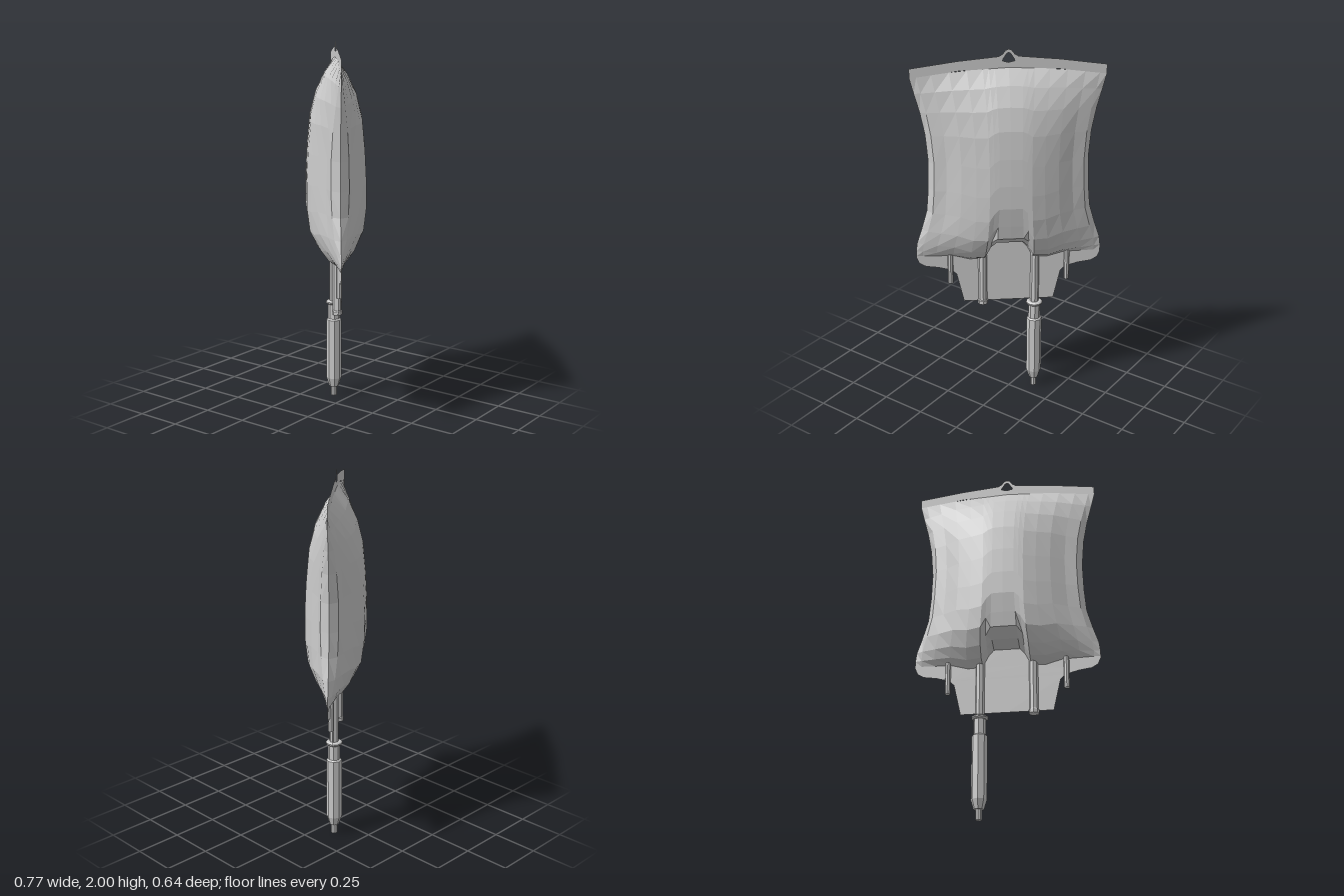
import * as THREE from 'three';

const flat = new THREE.MeshStandardMaterial({ color: 0xcccccc, flatShading: true });
const sheet = new THREE.MeshStandardMaterial({ color: 0xcccccc, side: THREE.DoubleSide });

// Piecewise linear lookup in a list of [position, value] pairs
function lookup(table, t) {
  for (let i = 1; i < table.length; i++) {
    const [a, p] = table[i - 1], [b, q] = table[i];
    if (t <= b) return p + (q - p) * (t - a) / (b - a);
  }
  return table[table.length - 1][1];
}

const BOTTOM = [[0, 0.93], [0.07, 0.93], [0.1, 0.895], [0.13, 0.835], [0.21, 0.83], [0.3, 0.855], [0.5, 0.86]];
const TOP = [[0, 1.905], [0.25, 1.893], [0.5, 1.86]];
const HALF_WIDTH = [[0, 0.5], [0.06, 0.5], [0.15, 0.47], [0.25, 0.437], [0.5, 0.415], [0.75, 0.435], [0.9, 0.475], [1, 0.5]];
const DEPTH = [[0, 0], [0.03, 0.055], [0.08, 0.1], [0.16, 0.143], [0.27, 0.158], [0.4, 0.158], [0.55, 0.15],
  [0.7, 0.135], [0.82, 0.105], [0.92, 0.058], [1, 0]];
const BULGE = [[0, 1], [0.26, 0.99], [0.46, 0.83], [0.62, 0.65], [0.78, 0.41], [0.93, 0.14], [1, 0]];
const HALF_COLUMNS = [0, 0.14, 0.2, 0.26, 0.42, 0.6, 0.78, 0.93, 1];

// A point on the pillow: s runs across, v runs up, side is the front or back
function pillowPoint(s, v, side) {
  const a = Math.abs(s);
  const x = s * lookup(HALF_WIDTH, v);
  const y0 = lookup(BOTTOM, a * 0.5), y1 = lookup(TOP, a * 0.5);
  let across = lookup(BULGE, a);
  if (a > 0.9 && a < 1) across += 0.16 * Math.sin(Math.PI * v);
  if (a < 0.18 && v < 0.1) across *= 1.3; // overhang above the arch
  return [x, y0 + (y1 - y0) * v, side * lookup(DEPTH, v) * across];
}

function pillowGeometry() {
  const columns = [...HALF_COLUMNS.slice(1).reverse().map(s => -s), ...HALF_COLUMNS];
  const rows = DEPTH.map(d => d[0]);
  const positions = [];
  for (const side of [1, -1]) {
    for (let i = 0; i < columns.length - 1; i++) {
      for (let j = 0; j < rows.length - 1; j++) {
        const a = pillowPoint(columns[i], rows[j], side);
        const b = pillowPoint(columns[i + 1], rows[j], side);
        const c = pillowPoint(columns[i + 1], rows[j + 1], side);
        const d = pillowPoint(columns[i], rows[j + 1], side);
        const corners = side > 0 ? [a, b, c, a, c, d] : [a, c, b, a, d, c];
        corners.forEach(p => positions.push(...p));
      }
    }
  }
  const geometry = new THREE.BufferGeometry();
  geometry.setAttribute('position', new THREE.Float32BufferAttribute(positions, 3));
  geometry.computeVertexNormals();
  return geometry;
}

// Shape symmetric about x = 0: the outer half edge, then the half edge against the pillow
function mirroredShape(outer, inner) {
  const flip = list => list.map(([x, y]) => [-x, y]);
  const points = [...outer, ...[...inner].reverse(), ...flip(inner), ...flip(outer).reverse()];
  const unique = points.filter(([x, y], i) => {
    const [px, py] = points[(i + points.length - 1) % points.length];
    return Math.hypot(x - px, y - py) > 1e-6;
  });
  return new THREE.Shape(unique.map(([x, y]) => new THREE.Vector2(x, y)));
}

export function createModel() {
  const model = new THREE.Group();
  model.name = 'fluidBag';
  const bag = new THREE.Group();
  bag.name = 'bagAssembly';
  bag.rotation.y = 0.694;
  model.add(bag);

  const add = (name, geometry, material, x = 0) => {
    const mesh = new THREE.Mesh(geometry, material);
    mesh.name = name;
    mesh.position.x = x;
    bag.add(mesh);
  };
  const turned = (profile, sides = 8) =>
    new THREE.LatheGeometry(profile.map(([r, y]) => new THREE.Vector2(r, y)), sides);

  // Filled pillow
  add('pillow', pillowGeometry(), flat);

  // Top seal with the hanging eyelet
  const topSeal = mirroredShape(
    [[0, 2], [0.015, 1.995], [0.03, 1.975], [0.05, 1.963], [0.26, 1.943], [0.5, 1.91]], TOP);
  topSeal.holes.push(new THREE.Path([[-0.032, 1.94], [-0.028, 1.95], [-0.01, 1.978], [0, 1.983],
    [0.01, 1.978], [0.028, 1.95], [0.032, 1.94], [0, 1.932]].map(([x, y]) => new THREE.Vector2(x, y))));
  add('topSeal', new THREE.ShapeGeometry(topSeal), sheet);

  // Bottom seal with rounded ears and the central apron
  const bottomSeal = mirroredShape(
    [[0, 0.57], [0.247, 0.57], [0.285, 0.74], [0.31, 0.765], [0.38, 0.785], [0.45, 0.795], [0.485, 0.815], [0.5, 0.85]],
    BOTTOM);
  add('bottomSeal', new THREE.ShapeGeometry(bottomSeal), sheet);

  // Small outer port tubes
  for (const side of [-1, 1]) {
    add(side > 0 ? 'leftSmallTube' : 'rightSmallTube',
      turned([[0, 0.69], [0.015, 0.69], [0.015, 0.87], [0, 0.87]]), flat, side * 0.318);
  }

  // Capped port tube
  add('cappedPort', turned([[0, 0.555], [0.028, 0.555], [0.028, 0.575], [0.024, 0.58], [0.024, 0.86], [0, 0.86]]),
    flat, -0.143);

  // Outlet tube with collar, long connector body and tip
  add('outletTube', turned([[0, 0.53], [0.024, 0.53], [0.024, 0.86], [0, 0.86]]), flat, 0.143);
  add('connectorCollar', turned([[0, 0.535], [0.036, 0.535], [0.045, 0.543], [0.045, 0.55], [0.036, 0.556], [0, 0.556]], 12),
    flat, 0.143);
  add('connectorBody', turned([[0, 0.055], [0.027, 0.055], [0.042, 0.105], [0.042, 0.445], [0.033, 0.452],
    [0.033, 0.54], [0, 0.54]]), flat, 0.143);
  add('connectorTip', turned([[0, 0], [0.017, 0], [0.017, 0.06], [0, 0.06]]), flat, 0.143);

  return model;
}
